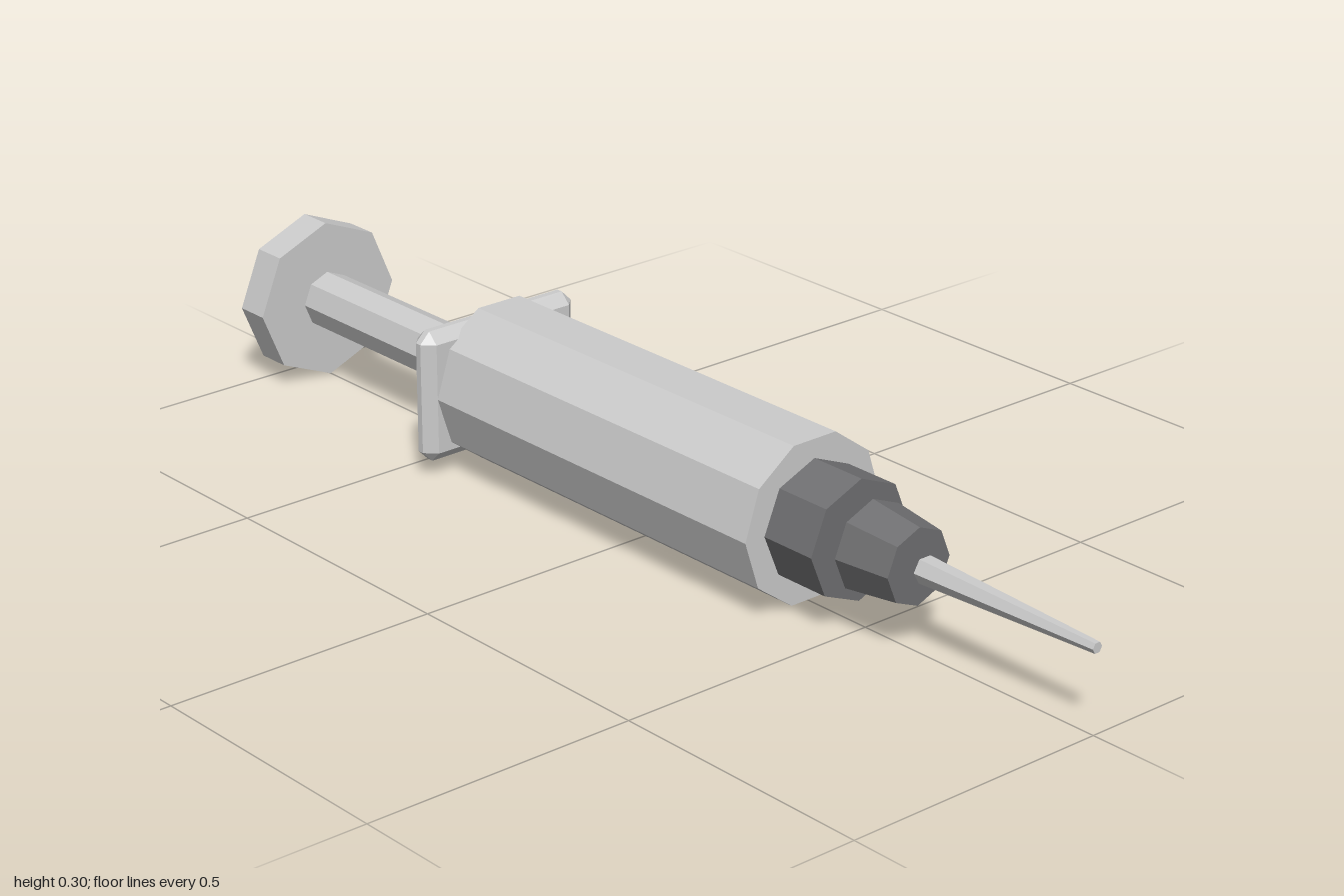
import * as THREE from 'three';
import { ConvexGeometry } from 'three/addons/geometries/ConvexGeometry.js';

const AXIS_Y = 0.148;

export function createModel() {
  const model = new THREE.Group();
  model.name = 'syringe';

  const light = new THREE.MeshStandardMaterial({ color: 0xcccccc, flatShading: true });
  const dark = new THREE.MeshStandardMaterial({ color: 0x707072, flatShading: true });

  const add = (name, geometry, material) => {
    const mesh = new THREE.Mesh(geometry, material);
    mesh.name = name;
    mesh.position.y = AXIS_Y;
    model.add(mesh);
  };

  // Faceted solid along x, from x0 (radius r0) to x1 (radius r1)
  const prism = (name, x0, x1, r0, r1, sides, material) => {
    const geometry = new THREE.CylinderGeometry(r1, r0, x1 - x0, sides);
    geometry.rotateZ(-Math.PI / 2);
    geometry.translate((x0 + x1) / 2, 0, 0);
    add(name, geometry, material);
  };

  // Box with every edge and corner cut by a single bevel
  const bevelledBox = (hx, hy, hz, bevel) => {
    const points = [];
    for (const sx of [-1, 1]) for (const sy of [-1, 1]) for (const sz of [-1, 1]) {
      for (let full = 0; full < 3; full++) {
        const [x, y, z] = [hx, hy, hz].map((h, i) => (i === full ? h : h - bevel));
        points.push(new THREE.Vector3(sx * x, sy * y, sz * z));
      }
    }
    return new ConvexGeometry(points);
  };

  // Plunger: thumb disc and rod running into the barrel
  prism('thumbDisc', -1, -0.935, 0.148, 0.148, 8, light);
  prism('plungerRod', -0.935, -0.35, 0.053, 0.053, 8, light);

  // Finger flange at the back of the barrel
  const flange = bevelledBox(0.026, 0.121, 0.168, 0.02);
  flange.translate(-0.444, 0, 0);
  add('fingerFlange', flange, light);

  prism('barrel', -0.43, 0.375, 0.148, 0.148, 10, light);

  // Dark collar, tapered hub and needle
  prism('collar', 0.375, 0.484, 0.107, 0.107, 8, dark);
  prism('needleHub', 0.511, 0.617, 0.081, 0.068, 8, dark);
  prism('needle', 0.63, 1, 0.024, 0.01, 6, light);

  return model;
}
